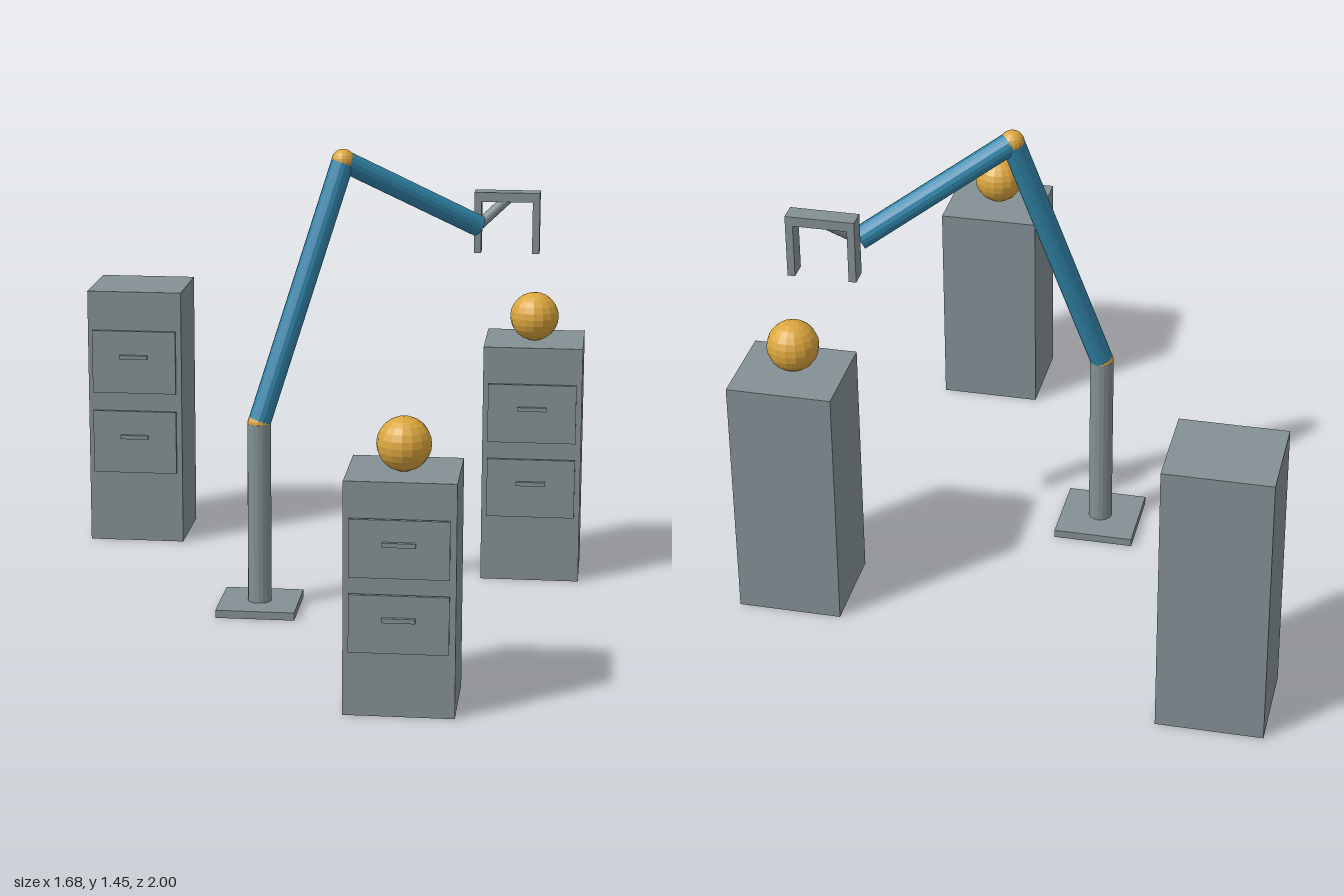
import * as THREE from 'three';

const flat = (name, color) => {
  const m = new THREE.MeshStandardMaterial({ color, flatShading: true });
  m.name = name;
  return m;
};

export function createModel() {
  const grey = flat('grey metal', 0x839094);
  const blue = flat('blue arm', 0x3286ac);
  const amber = flat('amber', 0xdba63d);
  const root = new THREE.Group();
  root.name = 'robotArmAndCabinets';

  const add = (parent, name, geometry, material, x, y, z) => {
    const mesh = new THREE.Mesh(geometry, material);
    mesh.name = name;
    mesh.position.set(x, y, z);
    parent.add(mesh);
    return mesh;
  };
  const box = (parent, name, w, h, d, x, y, z) =>
    add(parent, name, new THREE.BoxGeometry(w, h, d), grey, x, y, z);
  const ball = (parent, name, r, x, y, z) =>
    add(parent, name, new THREE.SphereGeometry(r, 16, 12), amber, x, y, z);

  // Cylinder running from point a to point b
  const rod = (parent, name, a, b, r, material) => {
    const dir = b.clone().sub(a);
    const mid = a.clone().add(b).multiplyScalar(0.5);
    const mesh = add(parent, name, new THREE.CylinderGeometry(r, r, dir.length(), 16), material, mid.x, mid.y, mid.z);
    mesh.quaternion.setFromUnitVectors(new THREE.Vector3(0, 1, 0), dir.normalize());
  };

  // Cabinets, each with two drawer fronts and slim handles
  const cabinet = (name, x, z, height) => {
    const g = new THREE.Group();
    g.name = name;
    g.position.set(x, 0, z);
    root.add(g);
    const depth = 0.292;
    const front = depth / 2;
    box(g, 'cabinetBody', 0.32, height, depth, 0, height / 2, 0);
    for (const level of [0.405, 0.725]) {
      const y = height * level;
      box(g, 'drawerFront', 0.285, height * 0.247, 0.012, 0, y, front + 0.014);
      box(g, 'drawerHandle', 0.095, 0.013, 0.012, 0, y + height * 0.022, front + 0.026);
    }
    return g;
  };
  cabinet('tallCabinet', -0.681, -0.854, 0.872);
  const near = cabinet('shortCabinet', 0.364, 0.822, 0.687);
  const far = cabinet('mediumCabinet', 0.68, -0.541, 0.78);
  ball(near, 'restingBall', 0.079, 0, 0.766, 0.015);
  ball(far, 'restingBall', 0.079, -0.002, 0.859, 0.016);

  // Robot arm
  const arm = new THREE.Group();
  arm.name = 'robotArm';
  root.add(arm);
  const foot = new THREE.Vector3(-0.16, 0.02, 0);
  const shoulder = new THREE.Vector3(-0.16, 0.605, 0);
  const elbow = new THREE.Vector3(0.087, 1.416, -0.154);
  const wrist = new THREE.Vector3(0.497, 1.176, -0.402);
  const palm = new THREE.Vector3(0.587, 1.255, -0.465);
  box(arm, 'basePlate', 0.25, 0.025, 0.25, -0.16, 0.0125, 0);
  rod(arm, 'column', foot, shoulder, 0.0375, grey);
  ball(arm, 'shoulderJoint', 0.037, shoulder.x, shoulder.y, shoulder.z);
  rod(arm, 'upperArm', shoulder, elbow, 0.036, blue);
  ball(arm, 'elbowJoint', 0.037, elbow.x, elbow.y, elbow.z);
  rod(arm, 'forearm', elbow, wrist, 0.035, blue);
  rod(arm, 'wristRod', wrist, palm, 0.017, grey);

  // Gripper: crossbar with two hanging fingers
  box(arm, 'gripperBar', 0.21, 0.03, 0.06, 0.587, 1.263, -0.467);
  for (const side of [-1, 1]) {
    box(arm, 'gripperFinger', 0.023, 0.17, 0.06, 0.587 + side * 0.0935, 1.166, -0.467);
  }

  return root;
}
